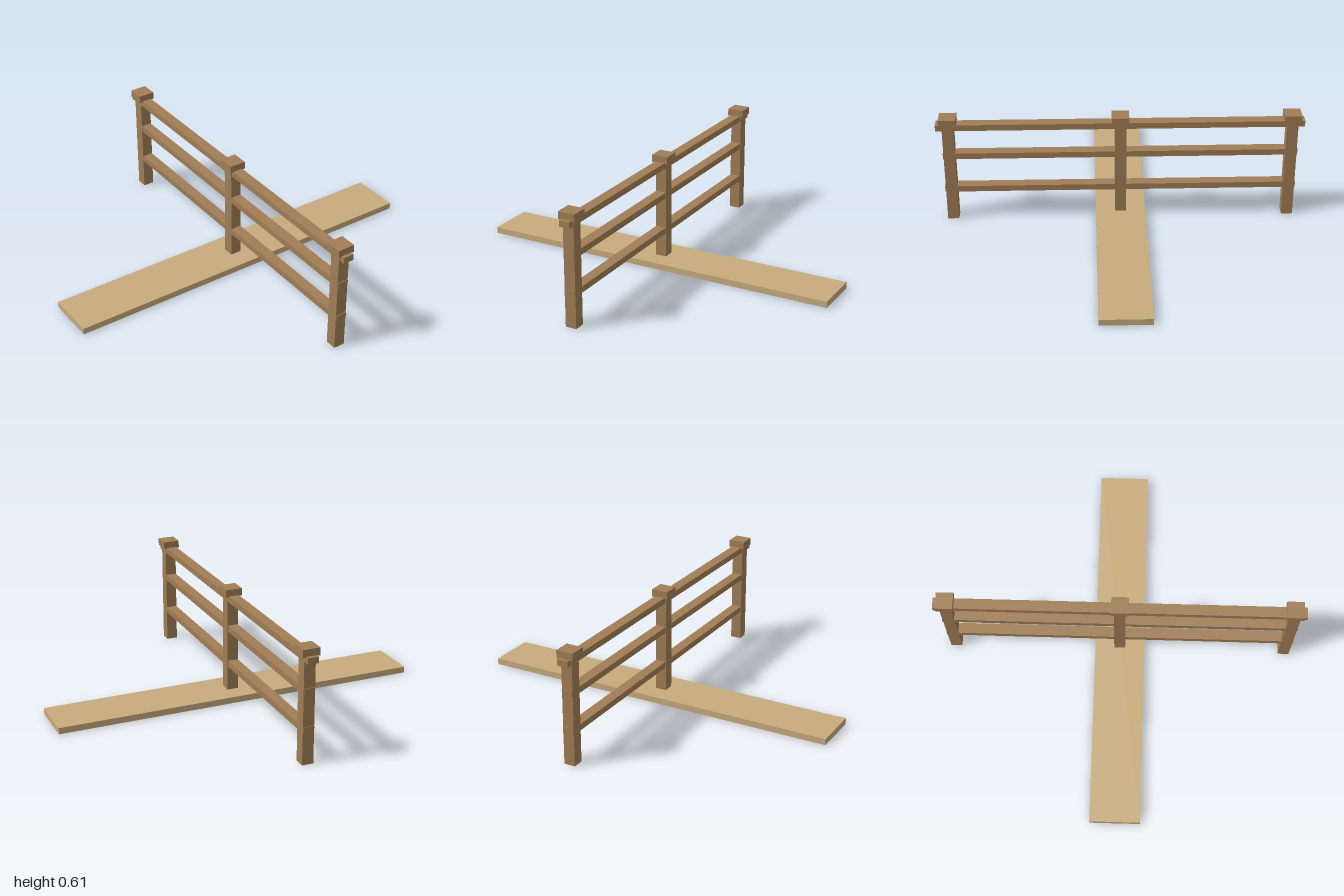
import * as THREE from 'three';

export function createModel() {
  const model = new THREE.Group();
  const timber = new THREE.MeshStandardMaterial({ color: 0xa07d55 });
  const plankWood = new THREE.MeshStandardMaterial({ color: 0xc8ab7d });

  // Box spanning y0..y1, centred on x = 0 and the given z
  function box(name, width, y0, y1, depth, z, material = timber) {
    const mesh = new THREE.Mesh(new THREE.BoxGeometry(width, y1 - y0, depth), material);
    mesh.name = name;
    mesh.position.set(0, (y0 + y1) / 2, z);
    model.add(mesh);
  }

  // Step plank crossing under the fence
  box('stepPlank', 2, 0, 0.034, 0.266, 0, plankWood);

  // Three posts with square caps
  for (const [side, z] of [['back', -0.9], ['middle', 0], ['front', 0.9]]) {
    box(side + 'Post', 0.06, 0, 0.57, 0.06, z);
    box(side + 'PostCap', 0.09, 0.565, 0.605, 0.09, z);
  }

  // Rails running through the posts; the top one overhangs
  box('lowerRail', 0.057, 0.168, 0.201, 1.868, 0);
  box('middleRail', 0.057, 0.368, 0.401, 1.868, 0);
  box('topRail', 0.057, 0.536, 0.569, 1.928, 0);

  return model;
}
